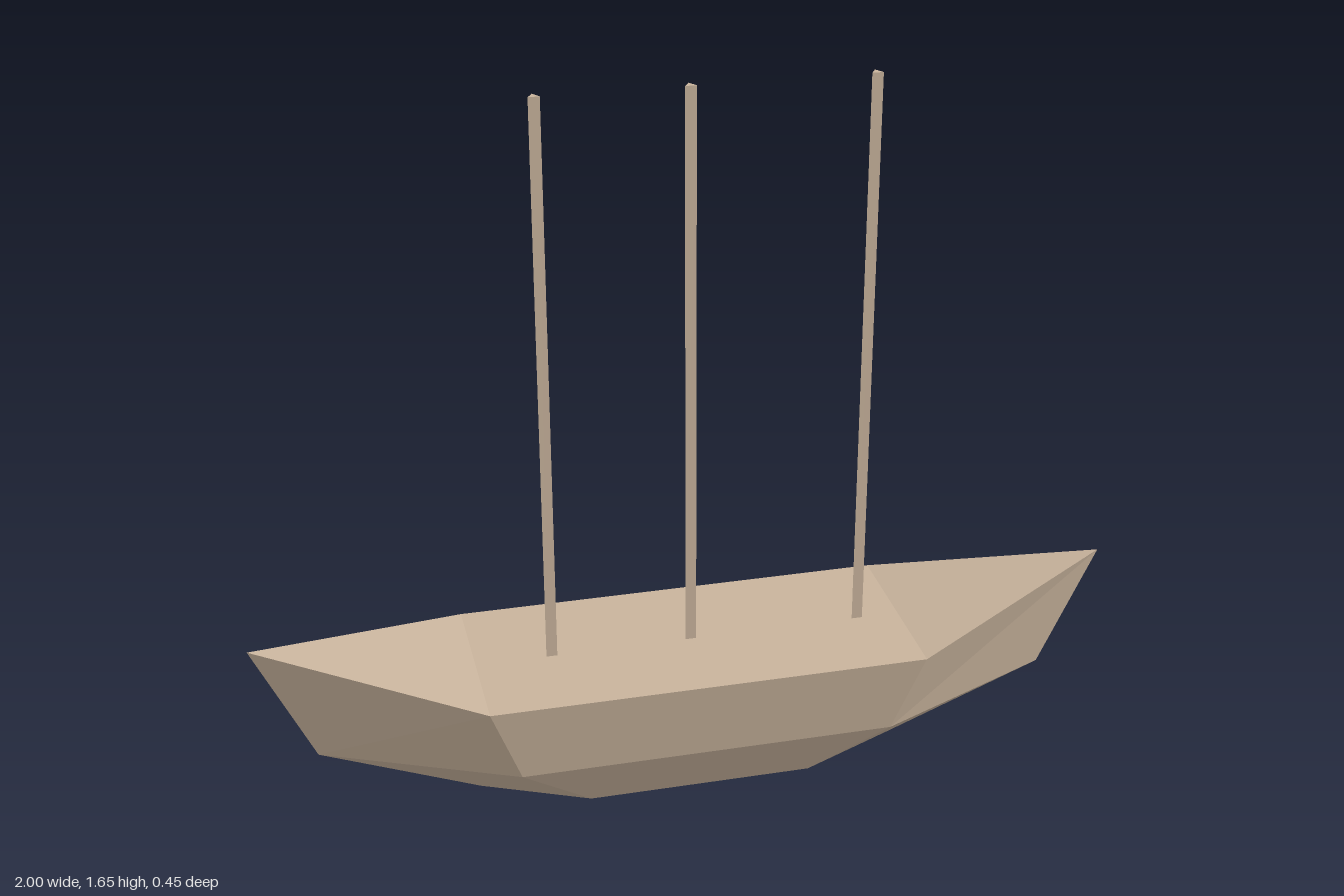
import * as THREE from 'three';

// Hexagonal hull section: pointed at bow and stern, counter-clockwise from above
function section({ tip, tipY, corner, y, half }) {
  return [
    [tip, tipY, 0], [corner, y, -half], [-corner, y, -half],
    [-tip, tipY, 0], [-corner, y, half], [corner, y, half],
  ];
}

function hullGeometry() {
  const rings = [
    section({ tip: 0.5, tipY: 0, corner: 0.26, y: 0, half: 0.11 }),
    section({ tip: 0.865, tipY: 0.145, corner: 0.43, y: 0.145, half: 0.195 }),
    section({ tip: 1, tipY: 0.435, corner: 0.5, y: 0.335, half: 0.223 }),
  ];
  const positions = [];
  const tri = (a, b, c) => positions.push(...a, ...b, ...c);

  // Side planking between neighbouring sections
  for (let r = 0; r < 2; r++) {
    for (let i = 0; i < 6; i++) {
      const j = (i + 1) % 6;
      const [low, high] = [rings[r], rings[r + 1]];
      tri(low[i], low[j], high[j]);
      tri(low[i], high[j], high[i]);
    }
  }

  // Deck with raised ends, and flat bottom
  const [bottom, , deck] = rings;
  for (const [a, b, c] of [[0, 1, 5], [1, 2, 4], [1, 4, 5], [2, 3, 4]]) {
    tri(deck[a], deck[b], deck[c]);
    tri(bottom[a], bottom[c], bottom[b]);
  }

  const geometry = new THREE.BufferGeometry();
  geometry.setAttribute('position', new THREE.Float32BufferAttribute(positions, 3));
  geometry.computeVertexNormals();
  return geometry;
}

export function createModel() {
  const group = new THREE.Group();
  group.name = 'sailingShip';
  const wood = new THREE.MeshStandardMaterial({ color: 0xc8b39c, flatShading: true });

  const hull = new THREE.Mesh(hullGeometry(), wood);
  hull.name = 'hull';
  group.add(hull);

  // Three-sided masts standing on the deck, one edge facing back
  const deckY = 0.335, topY = 1.65;
  const mastGeometry = new THREE.CylinderGeometry(0.0145, 0.0145, topY - deckY, 3);
  mastGeometry.rotateY(Math.PI);
  const masts = { rightMast: -0.325, middleMast: 0, leftMast: 0.4 };
  for (const [name, x] of Object.entries(masts)) {
    const mast = new THREE.Mesh(mastGeometry, wood);
    mast.name = name;
    mast.position.set(x, (deckY + topY) / 2, 0.003);
    group.add(mast);
  }
  return group;
}
